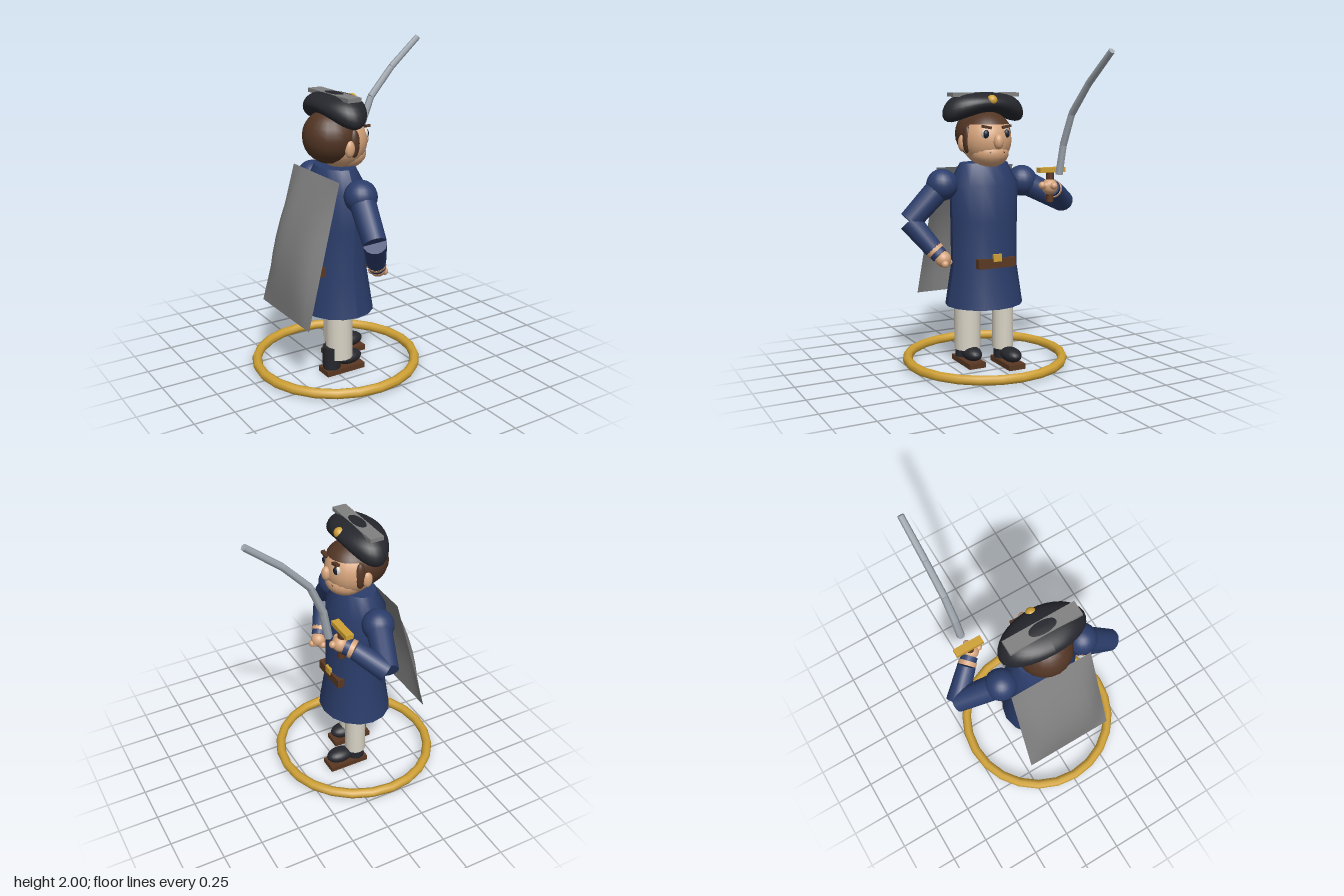
import * as THREE from 'three';

const mat = (name, color, side = THREE.FrontSide) => {
  const m = new THREE.MeshStandardMaterial({ color, side });
  m.name = name;
  return m;
};

export function createModel() {
  const M = {
    coat: mat('navy cloth', 0x2b3d6b),
    black: mat('black felt', 0x26272d),
    skin: mat('skin', 0xd6a47c),
    hair: mat('brown hair', 0x523524),
    leather: mat('brown leather', 0x5a3822),
    gold: mat('gold', 0xcfa135),
    steel: mat('steel', 0xa3abb3),
    grey: mat('grey cloth', 0x808080, THREE.DoubleSide),
    cream: mat('cream cloth', 0xd9d3c5),
    eye: mat('eye dark', 0x1c2030),
  };
  const root = new THREE.Group();
  root.name = 'swordsman';
  const V = (a) => new THREE.Vector3(...a);
  const add = (name, geo, m, p = [0, 0, 0], parent = root) => {
    const mesh = new THREE.Mesh(geo, m);
    mesh.name = name;
    mesh.position.set(...p);
    parent.add(mesh);
    return mesh;
  };
  const ball = (name, m, p, r, parent) => {
    const mesh = add(name, new THREE.SphereGeometry(1, 20, 14), m, p, parent);
    mesh.scale.set(...(Array.isArray(r) ? r : [r, r, r]));
    return mesh;
  };
  const box = (name, m, p, s, parent) => add(name, new THREE.BoxGeometry(...s), m, p, parent);
  // Cylinder stretched between two points
  const rod = (name, m, a, b, ra, rb, sides = 14, parent) => {
    const A = V(a), B = V(b), d = B.clone().sub(A);
    const mesh = add(name, new THREE.CylinderGeometry(rb, ra, d.length(), sides), m,
      A.clone().add(B).multiplyScalar(0.5).toArray(), parent);
    mesh.quaternion.setFromUnitVectors(new THREE.Vector3(0, 1, 0), d.normalize());
    return mesh;
  };
  const cx = -0.175, cz = 0.016;

  // Base ring
  const ring = add('baseRing', new THREE.TorusGeometry(0.505, 0.031, 8, 24), M.gold, [cx, 0.04, 0.01]);
  ring.rotation.x = Math.PI / 2;

  // Legs and boots, one foot ahead of the other
  for (const [side, x, z, r, toe] of [['rear', -0.215, 0.117, 0.085, -0.14], ['lead', -0.125, -0.095, 0.068, 0]]) {
    const leg = new THREE.Group();
    leg.name = side + 'Leg';
    root.add(leg);
    rod('trouser', M.cream, [x, 0.1, z], [x, 0.5, z], r, r, 14, leg);
    rod('bootShaft', M.black, [toe - 0.13, 0.03, z], [toe - 0.13, 0.18, z], 0.056, 0.056, 12, leg);
    ball('bootToe', M.black, [toe - 0.01, 0.078, z], [0.092, 0.046, 0.06], leg);
    box('sole', M.leather, [toe - 0.055, 0.017, z], [0.27, 0.034, 0.115], leg);
  }

  // Coat: elliptical loops joined by a lathe, squashed at each height
  const rings = [[0.4, 0.227, 0.254], [0.66, 0.186, 0.216], [0.95, 0.181, 0.22], [1.18, 0.178, 0.226], [1.31, 0.11, 0.16]];
  const coatGeo = new THREE.LatheGeometry(rings.map(([y]) => new THREE.Vector2(1, y)), 16);
  const cp = coatGeo.attributes.position;
  for (let i = 0; i < cp.count; i++) {
    const [y, hx, hz] = rings[i % rings.length];
    cp.setXYZ(i, cp.getX(i) * hx, y, cp.getZ(i) * hz);
  }
  coatGeo.computeVertexNormals();
  add('coat', coatGeo, M.coat, [cx, 0, cz]);
  for (const [name, k, flip] of [['coatHem', 0, 1], ['collarTop', 4, -1]]) {
    const cap = add(name, new THREE.CircleGeometry(1, 16), M.coat, [cx, rings[k][0], cz]);
    cap.rotation.x = flip * Math.PI / 2;
    cap.scale.set(rings[k][1], rings[k][2], 1);
  }
  // Belt shows at front and back only
  box('belt', M.leather, [cx, 0.69, cz], [0.382, 0.06, 0.256]);
  box('buckle', M.gold, [0.01, 0.725, cz], [0.03, 0.046, 0.056]);

  // Arms
  const arm = (name, shoulder, elbow, wrist, hand) => {
    const g = new THREE.Group();
    g.name = name;
    root.add(g);
    ball('shoulder', M.coat, shoulder, 0.1, g);
    rod('upperArm', M.coat, shoulder, elbow, 0.08, 0.07, 14, g);
    rod('forearm', M.coat, elbow, wrist, 0.07, 0.058, 14, g);
    const at = (t) => V(wrist).lerp(V(hand), t).toArray();
    rod('cuffBand', M.skin, wrist, at(0.3), 0.058, 0.058, 14, g);
    rod('cuff', M.coat, at(0.25), at(0.65), 0.053, 0.053, 14, g);
    ball('palm', M.skin, hand, 0.05, g);
    // Curled fingers fan across the knuckles
    const d = V(hand).sub(V(wrist)).normalize();
    const s = new THREE.Vector3(0, 1, 0).cross(d).normalize();
    for (let i = 0; i < 4; i++) {
      const p = V(hand).addScaledVector(d, 0.035 - 0.004 * (i % 3)).addScaledVector(s, (i - 1.5) * 0.025);
      ball('finger', M.skin, p.toArray(), 0.023, g);
    }
    return g;
  };
  arm('hipArm', [cx, 1.18, 0.305], [-0.21, 0.96, 0.51], [-0.12, 0.79, 0.39], [-0.08, 0.73, 0.345]);
  arm('swordArm', [cx, 1.18, -0.26], [-0.09, 1.04, -0.52], [0.045, 1.14, -0.37], [0.105, 1.165, -0.305]);

  // Sword
  const sword = new THREE.Group();
  sword.name = 'sword';
  root.add(sword);
  rod('grip', M.leather, [0.1, 1.07, -0.31], [0.1, 1.26, -0.31], 0.024, 0.024, 10, sword);
  box('guard', M.gold, [0.1, 1.27, -0.318], [0.05, 0.03, 0.182], sword);
  const blade = [[0.192, 1.25, -0.32], [0.228, 1.435, -0.327], [0.31, 1.625, -0.334], [0.475, 1.805, -0.344], [0.69, 1.985, -0.354]];
  for (let i = 0; i < 4; i++)
    rod('bladeSection', M.steel, blade[i], blade[i + 1], 0.026 - i * 0.0015, 0.024 - i * 0.0015, 6, sword);

  // Cape: sheet slanting away from the back, bowed outwards in the middle
  const cape = new THREE.PlaneGeometry(2, 1, 10, 8);
  const pp = cape.attributes.position;
  for (let i = 0; i < pp.count; i++) {
    const u = pp.getX(i), v = 0.5 - pp.getY(i);
    const half = 0.273 + 0.022 * v;
    pp.setXYZ(i, -0.305 - 0.24 * v - 0.08 * Math.sin(Math.PI * v) * (1 - u ** 4),
      1.275 - 0.855 * v, 0.01 + 0.022 * v + u * half);
  }
  cape.computeVertexNormals();
  add('cape', cape, M.grey);

  // Head
  const head = new THREE.Group();
  head.name = 'head';
  root.add(head);
  ball('face', M.skin, [-0.135, 1.455, cz], [0.163, 0.165, 0.158], head);
  ball('jaw', M.skin, [-0.1, 1.375, cz], [0.125, 0.092, 0.125], head);
  ball('hairBack', M.hair, [-0.208, 1.49, cz], [0.168, 0.165, 0.168], head);
  const fringe = add('fringe', new THREE.SphereGeometry(1, 24, 8, 0, Math.PI * 2, 0, 1.0), M.hair, [-0.14, 1.46, cz], head);
  fringe.scale.set(0.178, 0.175, 0.172);
  ball('nose', M.skin, [0.03, 1.45, cz], [0.03, 0.046, 0.031], head);
  const mouth = add('mouth', new THREE.TorusGeometry(0.075, 0.004, 6, 12, 1.5), M.leather, [0.012, 1.325, cz], head);
  mouth.rotation.set(0, Math.PI / 2, 0.82, 'YXZ');
  for (const s of [-1, 1]) {
    ball('ear', M.skin, [-0.165, 1.435, cz + s * 0.155], [0.032, 0.052, 0.025], head);
    ball('sideburn', M.hair, [-0.125, 1.46, cz + s * 0.14], [0.035, 0.085, 0.026], head);
    ball('eyeWhite', M.cream, [-0.008, 1.497, cz + s * 0.071], [0.02, 0.031, 0.026], head);
    ball('pupil', M.eye, [0.0, 1.497, cz + s * 0.071], [0.018, 0.027, 0.021], head);
    const brow = box('eyebrow', M.hair, [0.003, 1.54, cz + s * 0.068], [0.025, 0.016, 0.06], head);
    brow.rotation.x = -s * 0.2;
  }

  // Wide hat, drooping and thickening towards both ends
  const hat = new THREE.SphereGeometry(1, 32, 20);
  const hp = hat.attributes.position;
  for (let i = 0; i < hp.count; i++) {
    const x = hp.getX(i), y = hp.getY(i), t = hp.getZ(i);
    hp.setXYZ(i, x * 0.148, y * 0.067 * (1 + 1.25 * t * t) - 0.07 * t * t, t * 0.275);
  }
  hat.computeVertexNormals();
  add('hat', hat, M.black, [-0.177, 1.683, cz], head);
  box('hatBraid', M.grey, [-0.178, 1.735, cz], [0.09, 0.025, 0.46], head);
  ball('hatBadge', M.gold, [-0.057, 1.7, cz], 0.034, head);

  return root;
}
